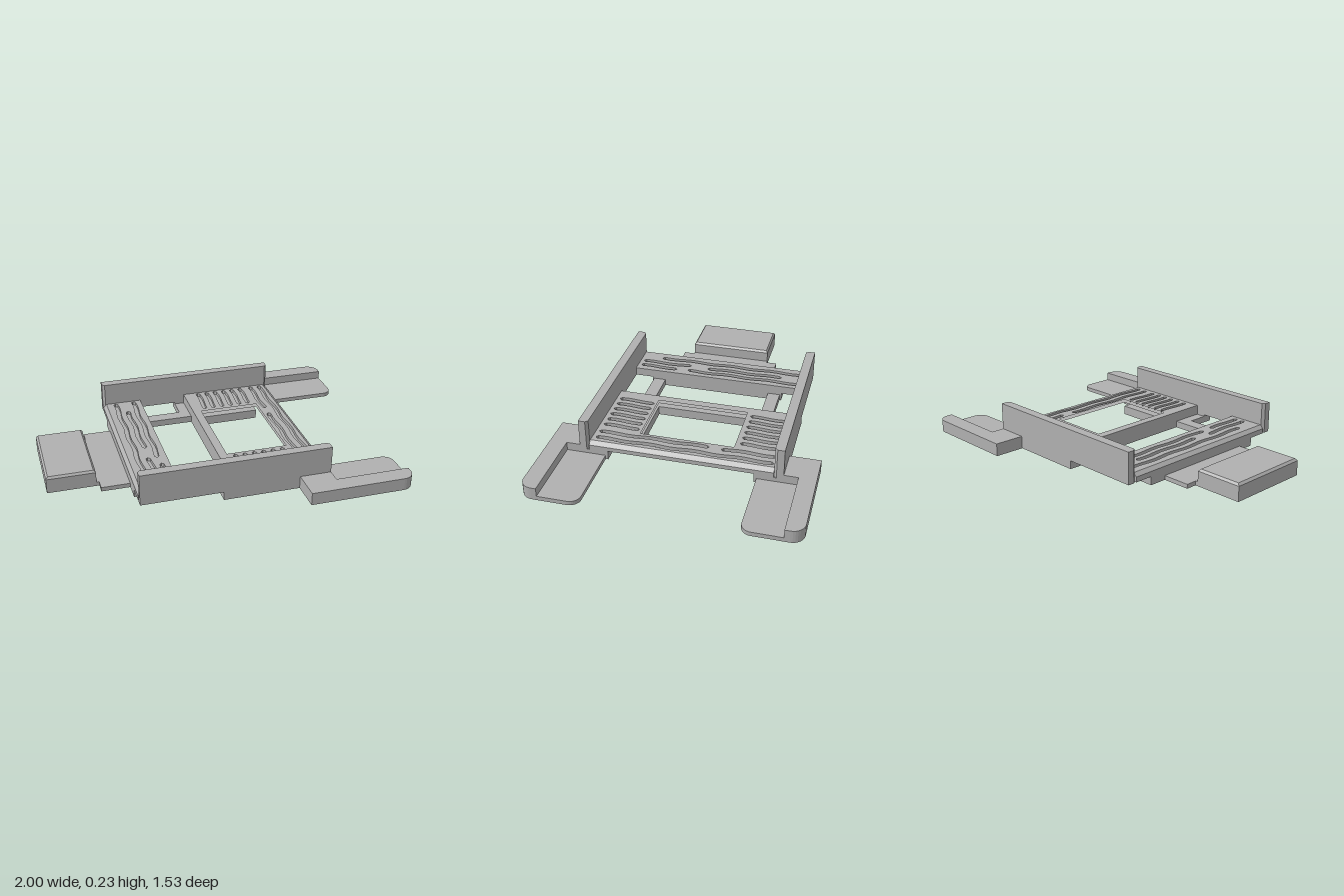
import * as THREE from 'three';

export function createModel() {
  const root = new THREE.Group();
  const mat = new THREE.MeshStandardMaterial({ color: 0xb0b0b0 });
  mat.name = 'plain grey';

  const add = (name, geo) => {
    const mesh = new THREE.Mesh(geo, mat);
    mesh.name = name;
    root.add(mesh);
    return mesh;
  };
  const box = (name, x0, x1, y0, y1, z0, z1) => {
    const g = new THREE.BoxGeometry(x1 - x0, y1 - y0, z1 - z0);
    g.translate((x0 + x1) / 2, (y0 + y1) / 2, (z0 + z1) / 2);
    return add(name, g);
  };
  // plan outlines are given as [x, z] pairs
  const toPlan = pts => pts.map(([x, z]) => new THREE.Vector2(x, -z));
  const rect = (x0, x1, z0, z1) => [[x0, z0], [x1, z0], [x1, z1], [x0, z1]];
  const plate = (name, pts, holes, y0, y1) => {
    const s = new THREE.Shape(toPlan(pts));
    s.holes = holes.map(h => new THREE.Path(toPlan(h)));
    const g = new THREE.ExtrudeGeometry(s, { depth: y1 - y0, bevelEnabled: false });
    g.rotateX(-Math.PI / 2).translate(0, y0, 0);
    return add(name, g);
  };
  // wavy slot running along z, with rounded ends
  const groove = (x, z0, z1) => {
    const r = 0.013, n = Math.ceil((z1 - z0) / 0.05), left = [], right = [];
    for (let i = 0; i <= n; i++) {
      const z = z0 + r + (z1 - z0 - 2 * r) * i / n;
      const c = x + 0.005 * Math.sin(z * 24);
      left.push([c - r, z]);
      right.push([c + r, z]);
    }
    return [...left, [left[n][0] + r, z1], ...right.reverse(), [left[0][0] + r, z0]];
  };

  // grooved top surfaces
  const leftGrooves = [[-0.465, -0.52, 0.4], [-0.405, -0.4, 0.08], [-0.405, 0.19, 0.51],
    [-0.35, -0.52, 0.2], [-0.35, 0.27, 0.51]].map(a => groove(...a));
  const rightGrooves = [[0.44, -0.52, -0.21], [0.44, -0.14, 0.51], [0.5, -0.52, 0.51]].map(a => groove(...a));
  for (let i = 0; i < 6; i++) {
    const x = 0.08 + 0.057 * i;
    rightGrooves.push(groove(x, -0.52, -0.3), groove(x, 0.29, 0.51));
  }
  plate('groovedEndDeck', rect(-0.52, -0.3, -0.53, 0.53), leftGrooves, 0.08, 0.1);
  plate('groovedFrameDeck', rect(-0.01, 0.535, -0.53, 0.53),
    [rect(0.04, 0.405, -0.275, 0.275), ...rightGrooves], 0.08, 0.1);

  // sloped edges at both deck ends
  [['endDeckSlope', -0.52, -0.54], ['frameDeckSlope', 0.535, 0.56]].forEach(([name, xi, xo]) => {
    const s = new THREE.Shape([[xi, 0.08], [xo, 0.08], [xi, 0.1]].map(p => new THREE.Vector2(...p)));
    add(name, new THREE.ExtrudeGeometry(s, { depth: 1.06, bevelEnabled: false }).translate(0, 0, -0.53));
  });

  // bodies under the decks
  box('endBarUpper', -0.54, -0.3, 0.05, 0.08, -0.53, 0.53);
  box('endBarLower', -0.54, -0.3, 0, 0.05, -0.42, 0.42);
  plate('frameUpper', rect(-0.01, 0.56, -0.53, 0.53), [rect(0.04, 0.405, -0.275, 0.275)], 0.055, 0.08);
  // lower frame is open under the far bar
  plate('frameLower', [[-0.01, -0.53], [0.56, -0.53], [0.56, -0.42], [0.405, -0.42], [0.405, -0.275],
    [0.04, -0.275], [0.04, 0.275], [0.405, 0.275], [0.405, 0.42], [0.56, 0.42], [0.56, 0.53], [-0.01, 0.53]],
  [], 0, 0.055);

  // mirrored side parts
  for (const s of [-1, 1]) {
    const side = s > 0 ? 'front' : 'back';
    const m = pts => pts.map(([x, z]) => [x, z * s]);
    const mBox = (name, x0, x1, y0, y1, z0, z1) =>
      box(side + name, x0, x1, y0, y1, Math.min(z0 * s, z1 * s), Math.max(z0 * s, z1 * s));

    plate(side + 'Wall', m([[-0.54, 0.585], [0.56, 0.585], [0.56, 0.545], [0.545, 0.53],
      [-0.525, 0.53], [-0.54, 0.545]]), [], 0.05, 0.235);
    mBox('WallFoot', -0.07, 0.56, 0, 0.05, 0.53, 0.585);
    mBox('WallLug', -0.07, -0.01, 0, 0.04, 0.41, 0.53);
    mBox('LinkBar', -0.3, -0.01, 0, 0.04, 0.335, 0.41);

    // foot: low floor with a raised outer rim, rounded at the free corners
    const arc = (cx, cz, r, a0) => Array.from({ length: 9 }, (_, i) => {
      const a = a0 + i * Math.PI / 16;
      return [cx + r * Math.cos(a), cz + r * Math.sin(a)];
    });
    plate(side + 'FootFloor', m([[0.56, 0.435], ...arc(0.94, 0.495, 0.06, -Math.PI / 2),
      [1, 0.665], [0.56, 0.665]]), [], 0, 0.025);
    plate(side + 'FootRim', m([[0.375, 0.585], [0.56, 0.585], [0.56, 0.665], [1, 0.665],
      ...arc(0.93, 0.695, 0.07, 0), [0.375, 0.765]]), [], 0, 0.075);
  }

  // end tab and its raised pad with a bevelled top
  box('tab', -0.705, -0.54, 0, 0.025, -0.315, 0.315);
  box('tabNeck', -0.72, -0.705, 0, 0.025, -0.25, 0.25);
  box('pad', -1, -0.72, 0, 0.087, -0.25, 0.25);
  const cap = box('padTop', -1, -0.72, 0.087, 0.1, -0.25, 0.25);
  const p = cap.geometry.attributes.position;
  for (let i = 0; i < p.count; i++) {
    if (p.getY(i) > 0.095) {
      p.setX(i, p.getX(i) + (p.getX(i) < -0.86 ? 0.012 : -0.012));
      p.setZ(i, p.getZ(i) - 0.01 * Math.sign(p.getZ(i)));
    }
  }
  cap.geometry.computeVertexNormals();

  return root;
}
